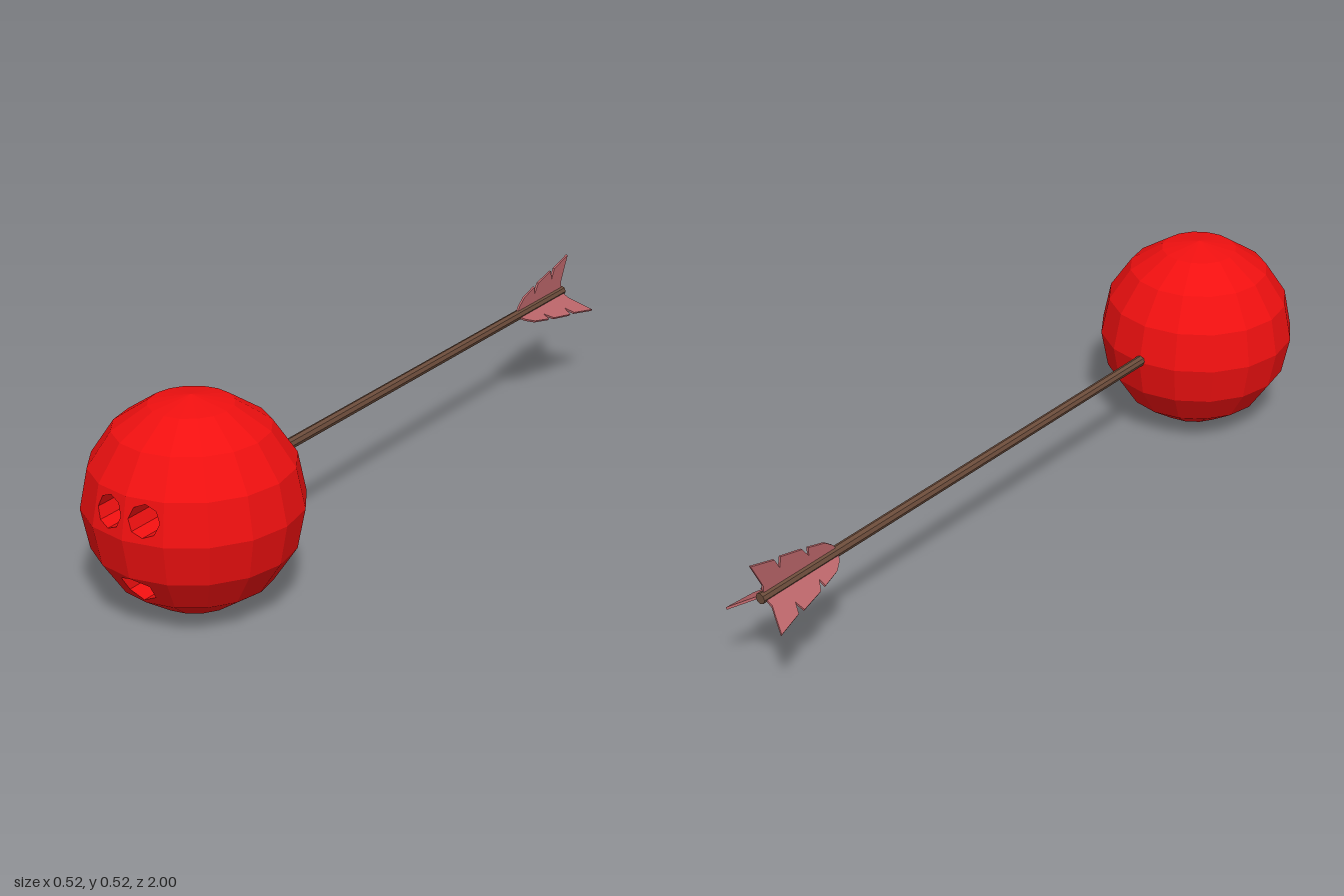
import * as THREE from 'three';

const R = 0.2625, BALL_Y = 0.2625, BALL_Z = 0.7375, STEP = Math.PI / 8;
const mat = (color) => new THREE.MeshStandardMaterial({ color, flatShading: true, side: THREE.DoubleSide });
const v2 = (x, y) => new THREE.Vector2(x, y);

function addMesh(parent, name, geometry, material) {
  const mesh = new THREE.Mesh(geometry, material);
  mesh.name = name;
  parent.add(mesh);
  return mesh;
}

function geometryFrom(positions) {
  const g = new THREE.BufferGeometry();
  g.setAttribute('position', new THREE.Float32BufferAttribute(positions, 3));
  g.computeVertexNormals();
  return g;
}

// Point on the faceted ball at a ring and a column counted from the front
const ballPoint = (ring, col) => new THREE.Vector3(
  R * Math.cos(ring * STEP) * Math.sin(col * STEP),
  R * Math.sin(ring * STEP),
  R * Math.cos(ring * STEP) * Math.cos(col * STEP));

// Depth of the front facet between two rings, under the point x, y
function facetDepth(low, x, y) {
  const plane = new THREE.Plane().setFromCoplanarPoints(ballPoint(low, 0), ballPoint(low, 1), ballPoint(low + 1, 0));
  return (plane.constant + plane.normal.x * Math.abs(x) + plane.normal.y * y) / -plane.normal.z;
}

// Flat shape laid onto its front facet
function facetGeometry(shape, low) {
  const g = new THREE.ShapeGeometry(shape), p = g.attributes.position;
  for (let i = 0; i < p.count; i++) p.setZ(i, facetDepth(low, p.getX(i), p.getY(i)));
  g.computeVertexNormals();
  return g;
}

// Ball without the four front facets that carry the holes
function ballShell() {
  const p = new THREE.SphereGeometry(R, 16, 8).toNonIndexed().attributes.position;
  const kept = [];
  for (let i = 0; i < p.count; i += 3) {
    const tri = [0, 1, 2].map((k) => new THREE.Vector3().fromBufferAttribute(p, i + k));
    const c = tri[0].clone().add(tri[1]).add(tri[2]).divideScalar(3);
    const front = Math.atan2(Math.abs(c.x), c.z) < STEP;
    const eyeRow = c.y > 0 && c.y < 0.1;
    const mouthRow = c.y < -0.101 && c.y > -0.185;
    if (!(front && (eyeRow || mouthRow))) tri.forEach((v) => kept.push(v.x, v.y, v.z));
  }
  return geometryFrom(kept);
}

// Red walls and black floor of a hole; ring runs counter-clockwise
function addRecess(parent, name, ring, low, floorZ, red, black) {
  const pos = [];
  ring.forEach((a, i) => {
    const b = ring[(i + 1) % ring.length];
    const az = facetDepth(low, a.x, a.y), bz = facetDepth(low, b.x, b.y);
    pos.push(a.x, a.y, az, b.x, b.y, bz, a.x, a.y, floorZ);
    pos.push(b.x, b.y, bz, b.x, b.y, floorZ, a.x, a.y, floorZ);
  });
  addMesh(parent, name + 'Walls', geometryFrom(pos), red);
  addMesh(parent, name + 'Floor', new THREE.ShapeGeometry(new THREE.Shape(ring)), black).position.z = floorZ;
}

export function createModel() {
  const group = new THREE.Group();
  const red = mat(0xf01010), black = mat(0x101010), wood = mat(0x6b4c3b), feather = mat(0xb86468);

  const head = new THREE.Group();
  head.name = 'head';
  head.position.set(0, BALL_Y, BALL_Z);
  group.add(head);
  addMesh(head, 'ball', ballShell(), red);

  // Eye holes and the facets around them
  for (const [side, s] of [['left', 1], ['right', -1]]) {
    const eye = [];
    for (let i = 0; i < 8; i++) {
      const a = i * Math.PI / 4;
      eye.push(v2(s * 0.0487 + 0.0385 * Math.cos(a), 0.0515 + 0.0385 * Math.sin(a)));
    }
    const corners = [ballPoint(0, 0), ballPoint(0, 1), ballPoint(1, 1), ballPoint(1, 0)];
    const shape = new THREE.Shape(corners.map((c) => v2(s * c.x, c.y)));
    shape.holes.push(new THREE.Path(eye));
    addMesh(head, side + 'EyeFacet', facetGeometry(shape, 0), red);
    addRecess(head, side + 'Eye', eye, 0, 0.12, red, black);
  }

  // Mouth hole across the two facets under the middle
  const half = [v2(0, -0.1765), v2(0.0375, -0.158), v2(0.041, -0.12), v2(0, -0.1035)];
  for (const [side, s] of [['left', 1], ['right', -1]]) {
    const corners = [ballPoint(-2, 0), ballPoint(-2, 1), ballPoint(-1, 1), ballPoint(-1, 0)];
    const outline = [...corners, ...[...half].reverse()].map((c) => v2(s * c.x, c.y));
    addMesh(head, side + 'MouthFacet', facetGeometry(new THREE.Shape(outline), -2), red);
  }
  const mouth = [...half, v2(-0.041, -0.12), v2(-0.0375, -0.158)];
  addRecess(head, 'mouth', mouth, -2, 0.08, red, black);

  // Arrow stuck into the back of the ball
  const arrow = new THREE.Group();
  arrow.name = 'arrow';
  arrow.position.y = 0.267;
  group.add(arrow);
  const shaft = new THREE.CylinderGeometry(0.014, 0.014, 1.525, 8).rotateX(Math.PI / 2);
  addMesh(arrow, 'shaft', shaft, wood).position.z = -0.2125;

  // Three notched vanes: distance towards the tail, distance from the shaft
  const vane = [[0.72, 0.005], [0.735, 0.025], [0.76, 0.043], [0.815, 0.058], [0.815, 0.036],
    [0.835, 0.063], [0.905, 0.079], [0.91, 0.052], [0.925, 0.08], [1.0, 0.1], [0.965, 0.03], [0.965, 0.005]];
  const thickness = 0.006;
  for (let i = 0; i < 3; i++) {
    const g = new THREE.ExtrudeGeometry(new THREE.Shape(vane.map(([s, r]) => v2(s, r))),
      { depth: thickness, bevelEnabled: false });
    g.rotateY(Math.PI / 2).translate(-thickness / 2, 0, 0).rotateZ(i * Math.PI * 2 / 3);
    addMesh(arrow, 'vane' + (i + 1), g, feather);
  }
  return group;
}
